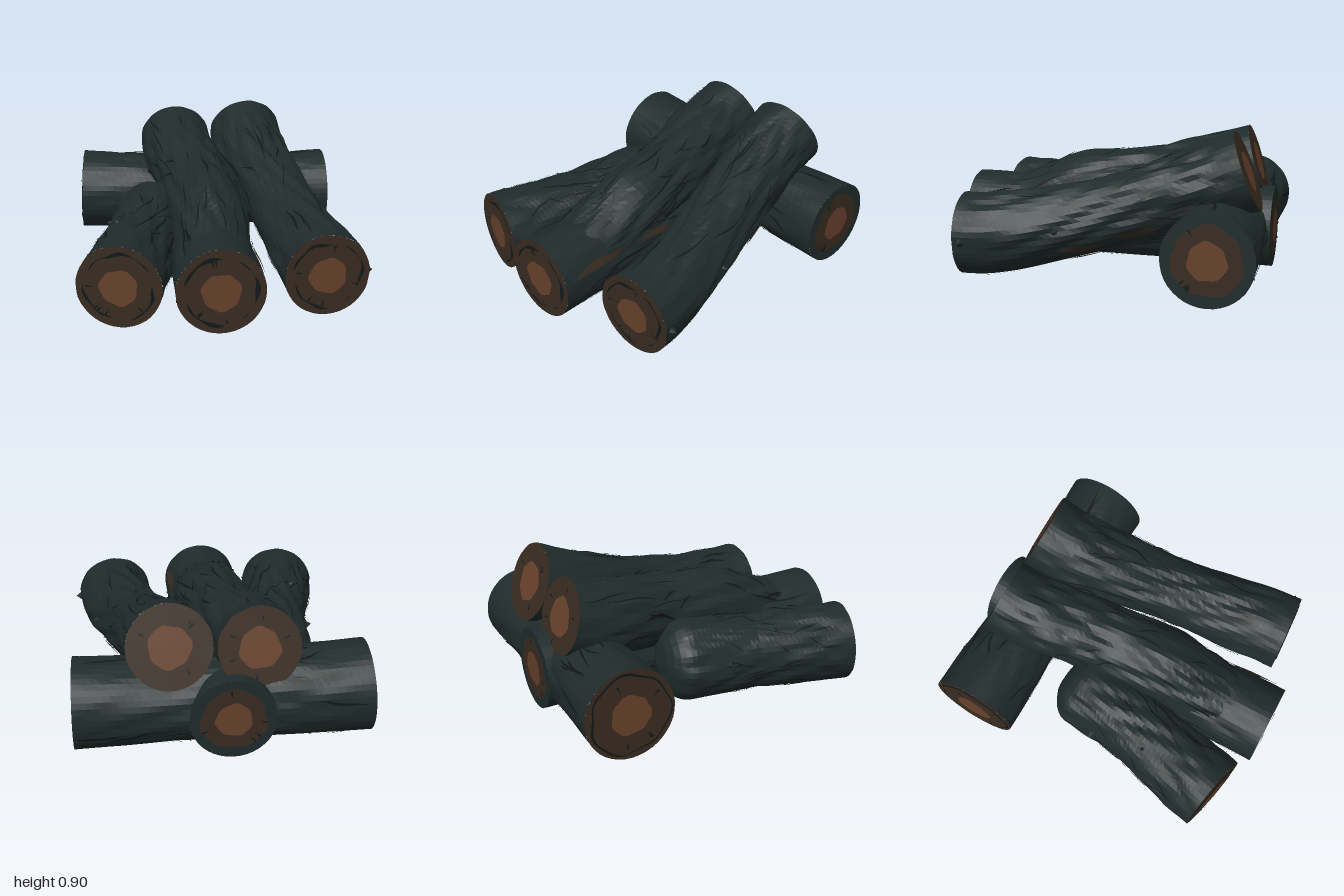
import * as THREE from 'three';
import { mergeGeometries } from 'three/addons/utils/BufferGeometryUtils.js';

const mat = (name, color, opts = {}) => {
  const m = new THREE.MeshStandardMaterial({ color, ...opts });
  m.name = name;
  return m;
};
const bark = mat('bark', 0x202b2b, { flatShading: true });
const crack = mat('bark crack', 0x111717, { side: THREE.DoubleSide });
const wood = mat('outer wood', 0x382b20, { side: THREE.DoubleSide });
const core = mat('heartwood', 0x66402b);

const V = (x, y, z) => new THREE.Vector3(x, y, z);

function seeded(seed) {
  let s = seed * 7919 + 17;
  return () => (s = (s * 16807) % 2147483647) / 2147483647;
}

// Geometry from a grid of points, point(i, j)
function gridGeometry(rows, cols, point) {
  const pos = [], idx = [];
  for (let i = 0; i <= rows; i++)
    for (let j = 0; j <= cols; j++) pos.push(...point(i, j).toArray());
  for (let i = 0; i < rows; i++)
    for (let j = 0; j < cols; j++) {
      const a = i * (cols + 1) + j, b = a + 1, c = b + cols + 1, d = a + cols + 1;
      idx.push(a, b, c, a, c, d);
    }
  const g = new THREE.BufferGeometry();
  g.setAttribute('position', new THREE.Float32BufferAttribute(pos, 3));
  g.setIndex(idx);
  g.computeVertexNormals();
  return g;
}

// Sawn-end layers: [radius fraction, material], stacked outwards
const rimmedEnd = [[1, wood], [0.82, crack], [0.79, wood], [0.44, core]];
const wideRimEnd = [[1, wood], [0.9, crack], [0.86, wood], [0.44, core]];
const plainEnd = [[1, wood], [0.5, core]];
const barkEnd = [[1, bark], [0.76, wood], [0.42, core]];

function makeLog({ name, path, radii, start, end, round, seed, rough = 1, cracks = 60, scars = [], knots = [] }) {
  const log = new THREE.Group();
  log.name = name;
  const curve = new THREE.CatmullRomCurve3(path);
  const rnd = seeded(seed);
  const frame = u => {
    const T = curve.getTangentAt(u), S = V(0, 1, 0).cross(T).normalize();
    return { C: curve.getPointAt(u), T, S, U: T.clone().cross(S) };
  };
  const radius = (u, a) => {
    const f = u * (radii.length - 1), i = Math.min(Math.floor(f), radii.length - 2);
    let r = THREE.MathUtils.lerp(radii[i], radii[i + 1], f - i);
    const fade = 0.2 + 0.8 * Math.min(1, 6 * u, 6 * (1 - u));
    const upper = THREE.MathUtils.smoothstep(Math.sin(a), -0.8, -0.1) * 0.8 + 0.2;
    // Long twisting plates with sharp grooves, over slow swellings
    const groove = Math.abs(Math.sin(5 * a + 2 * Math.sin(6 * u + seed) + seed));
    r *= 1 + rough * fade * upper * (0.05 * (groove - 0.6)
      + 0.022 * Math.sin(4 * a - 9 * u + seed) + 0.015 * Math.sin(13 * a + 23 * u));
    if (round && u > round) r *= Math.sqrt(Math.max(0, 1 - ((u - round) / (1 - round)) ** 2));
    return r;
  };
  const surf = (u, a, scale = 1, lift = 0) => {
    const { C, S, U } = frame(u), r = radius(u, a) * scale + lift;
    return C.addScaledVector(S, r * Math.cos(a)).addScaledVector(U, r * Math.sin(a));
  };
  const add = (n, g, m) => {
    const mesh = new THREE.Mesh(g, m);
    mesh.name = n;
    log.add(mesh);
    return mesh;
  };

  // Ridged bark
  const rows = 40, cols = 48;
  add('bark', gridGeometry(rows, cols, (i, j) => surf(i / rows, (j % cols) / cols * Math.PI * 2)), bark);

  // Tapering splits that follow the bark
  const sliver = (u, a, len, width, twist, lift) => gridGeometry(8, 2, (i, j) => {
    const t = i / 8, w = width * Math.sin(Math.PI * t);
    return surf(Math.min(u + len * t, 0.985),
      a + twist * t + 0.025 * Math.sin(7 * t + seed) + (j - 1) * w, 1, lift);
  });
  const reach = round ? round - 0.2 : 0.8;
  const splits = [];
  for (let k = 0; k < cracks; k++)
    splits.push(sliver(0.02 + rnd() * reach, rnd() * Math.PI * 2,
      0.08 + rnd() * 0.16, 0.015 + rnd() * 0.022, (rnd() - 0.5) * 0.8, 0.006));
  add('bark cracks', mergeGeometries(splits), crack);
  for (const s of scars) add('bare wood scar', sliver(...s, 0.009), wood);

  // Broken twig stubs
  for (const [u, a, size] of knots) {
    const stub = add('stub', new THREE.ConeGeometry(size, size * 1.4, 6), bark);
    stub.position.copy(surf(u, a));
    stub.quaternion.setFromUnitVectors(V(0, 1, 0),
      surf(u, a).sub(curve.getPointAt(u)).normalize());
  }

  // Sawn ends
  const cap = (layers, u) => {
    const side = u ? 1 : -1, n = 40;
    const outward = k => frame(u).T.multiplyScalar(side * k * 0.003);
    layers.forEach(([frac, m], k) => {
      const phase = rnd() * 6;
      const g = gridGeometry(1, n, (i, j) => {
        const a = (j % n) / n * Math.PI * 2 * side;
        const wob = k ? 1 + 0.035 * Math.sin(3 * a + phase) + 0.03 * Math.sin(7 * a + phase) : 1;
        return (i ? curve.getPointAt(u) : surf(u, a, frac * wob)).add(outward(k));
      });
      add(m === core ? 'heartwood' : 'end grain', g, m);
    });
    // Short radial splits in the end grain
    const parts = [];
    for (let k = 0; k < 5; k++) {
      const a = rnd() * Math.PI * 2;
      parts.push(gridGeometry(1, 1, (i, j) =>
        surf(u, a + (j - 0.5) * (i ? 0.01 : 0.07), i ? 0.6 : 0.76).add(outward(layers.length))));
    }
    add('end splits', mergeGeometries(parts), crack);
  };
  if (start) cap(start, 0);
  if (end) cap(end, 1);
  return log;
}

export function createModel() {
  const group = new THREE.Group();
  group.name = 'log pile';

  // Log lying across the back
  group.add(makeLog({
    name: 'backLog', seed: 1, rough: 0.6, cracks: 45, start: wideRimEnd, end: barkEnd,
    path: [V(-0.875, 0.3, -0.72), V(-0.3, 0.275, -0.715), V(0.3, 0.265, -0.715), V(0.838, 0.27, -0.71)],
    radii: [0.272, 0.255, 0.245, 0.268],
  }));

  // Straight log on the ground, front to back
  group.add(makeLog({
    name: 'middleLog', seed: 2, rough: 0.7, start: rimmedEnd, end: barkEnd,
    path: [V(-0.055, 0.262, 0.995), V(-0.06, 0.26, 0.3), V(-0.06, 0.262, -0.975)],
    radii: [0.254, 0.245, 0.24, 0.25],
    scars: [[0.02, 2.8, 0.24, 0.1, -0.1], [0.3, 2.75, 0.18, 0.08, 0.1], [0.35, 3.55, 0.14, 0.08, 0]],
  }));

  // Short log with a rounded back end
  group.add(makeLog({
    name: 'rightFrontLog', seed: 3, start: rimmedEnd, round: 0.84,
    path: [V(-0.62, 0.262, 0.885), V(-0.57, 0.262, 0.66), V(-0.46, 0.265, 0.2), V(-0.375, 0.28, -0.31)],
    radii: [0.248, 0.24, 0.23, 0.25, 0.262],
    knots: [[0.68, 0.2, 0.05], [0.4, 1.0, 0.03]],
  }));

  // Bent logs leaning on the back log
  group.add(makeLog({
    name: 'leftLeaningLog', seed: 4, rough: 1.2, start: rimmedEnd, end: plainEnd,
    path: [V(0.575, 0.262, 0.825), V(0.565, 0.264, 0.68), V(0.495, 0.325, 0.3), V(0.41, 0.425, -0.1),
      V(0.335, 0.53, -0.45), V(0.295, 0.61, -0.68), V(0.287, 0.675, -0.85)],
    radii: [0.25, 0.24, 0.22, 0.215, 0.225, 0.235, 0.245],
    scars: [[0.32, 3.75, 0.16, 0.12, 0.1], [0.5, 3.7, 0.18, 0.1, 0], [0.35, 4.3, 0.12, 0.08, 0]],
    knots: [[0.03, Math.PI, 0.05], [0.33, Math.PI, 0.04]],
  }));
  group.add(makeLog({
    name: 'rightLeaningLog', seed: 5, rough: 1.2, end: plainEnd,
    path: [V(-0.055, 0.28, 0.78), V(-0.06, 0.35, 0.5), V(-0.07, 0.445, 0.2), V(-0.11, 0.495, -0.2),
      V(-0.185, 0.56, -0.52), V(-0.21, 0.59, -0.68), V(-0.217, 0.642, -0.85)],
    radii: [0.2, 0.22, 0.235, 0.225, 0.23, 0.235, 0.238],
  }));
  return group;
}
